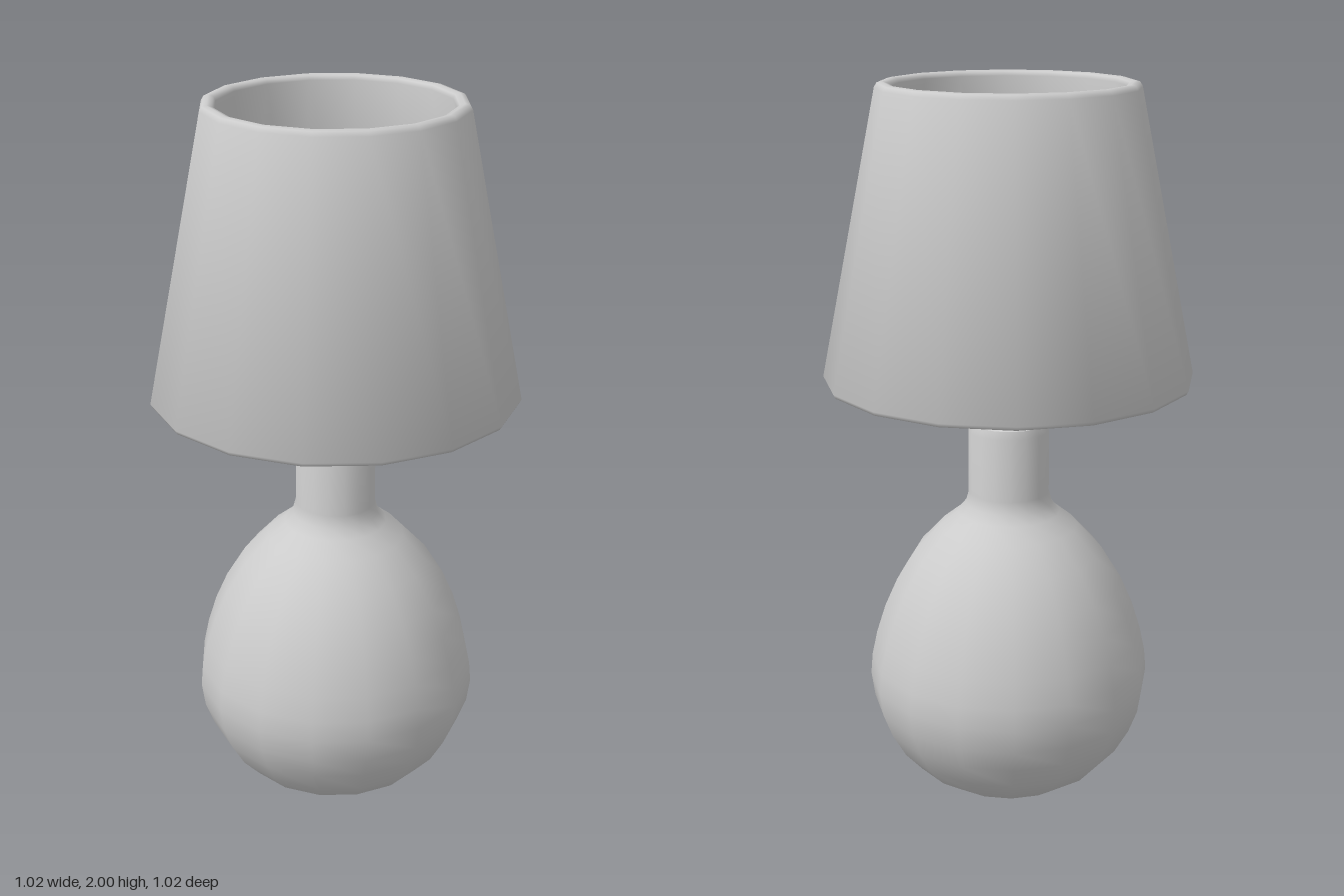
import * as THREE from 'three';
import { toCreasedNormals } from 'three/addons/utils/BufferGeometryUtils.js';

const material = new THREE.MeshStandardMaterial({ color: 0xcccccc });

// Turns a profile of [radius, height] pairs around the y axis.
function turned(name, profile, sides = 16, crease = 0.9) {
  const points = profile.map(([r, y]) => new THREE.Vector2(r, y));
  const geometry = toCreasedNormals(new THREE.LatheGeometry(points, sides), crease);
  const mesh = new THREE.Mesh(geometry, material);
  mesh.name = name;
  return mesh;
}

export function createModel() {
  const lamp = new THREE.Group();
  lamp.name = 'tableLamp';

  // Pear-shaped base running up into a rounded neck
  lamp.add(turned('base', [
    [0, 0], [0.2, 0], [0.275, 0.05], [0.325, 0.105], [0.365, 0.175], [0.39, 0.24],
    [0.4, 0.31], [0.395, 0.37], [0.38, 0.44], [0.355, 0.52], [0.32, 0.6],
    [0.265, 0.69], [0.195, 0.765], [0.145, 0.805], [0.122, 0.832], [0.113, 0.865],
    [0.113, 1.045], [0.105, 1.067], [0.085, 1.077], [0, 1.08],
  ], 16, 0.56));

  // Stem between neck and socket
  const stem = new THREE.Mesh(new THREE.CylinderGeometry(0.055, 0.055, 0.22, 12, 1, true), material);
  stem.name = 'stem';
  stem.position.y = 1.16;
  lamp.add(stem);

  // Socket collar with softened edges
  lamp.add(turned('socket', [
    [0, 1.245], [0.07, 1.245], [0.083, 1.25], [0.088, 1.263],
    [0.088, 1.325], [0.083, 1.338], [0.07, 1.343], [0, 1.343],
  ], 12));

  // Bulb widening from the socket to a round top
  const bulbProfile = [[0.062, 1.335], [0.068, 1.36], [0.084, 1.395]];
  for (let i = 0; i <= 6; i++) {
    const a = (i / 6) * Math.PI / 2;
    bulbProfile.push([i === 6 ? 0 : 0.096 * Math.cos(a), 1.44 + 0.096 * Math.sin(a)]);
  }
  lamp.add(turned('bulb', bulbProfile, 12));

  // Cross arms holding the shade
  for (const side of [-1, 1]) {
    const arm = new THREE.Mesh(new THREE.CylinderGeometry(0.02, 0.02, 0.41, 8), material);
    arm.name = side > 0 ? 'leftArm' : 'rightArm';
    arm.rotation.z = Math.PI / 2;
    arm.position.set(side * 0.265, 1.285, 0);
    lamp.add(arm);
  }

  // Tapered hollow shade with rounded rims
  lamp.add(turned('shade', [
    [0.492, 1.19], [0.505, 1.192], [0.511, 1.203],
    [0.354, 1.985], [0.347, 1.997], [0.334, 2], [0.32, 1.996], [0.315, 1.985],
    [0.472, 1.203], [0.479, 1.193], [0.492, 1.19],
  ], 16, 1.1));

  return lamp;
}
